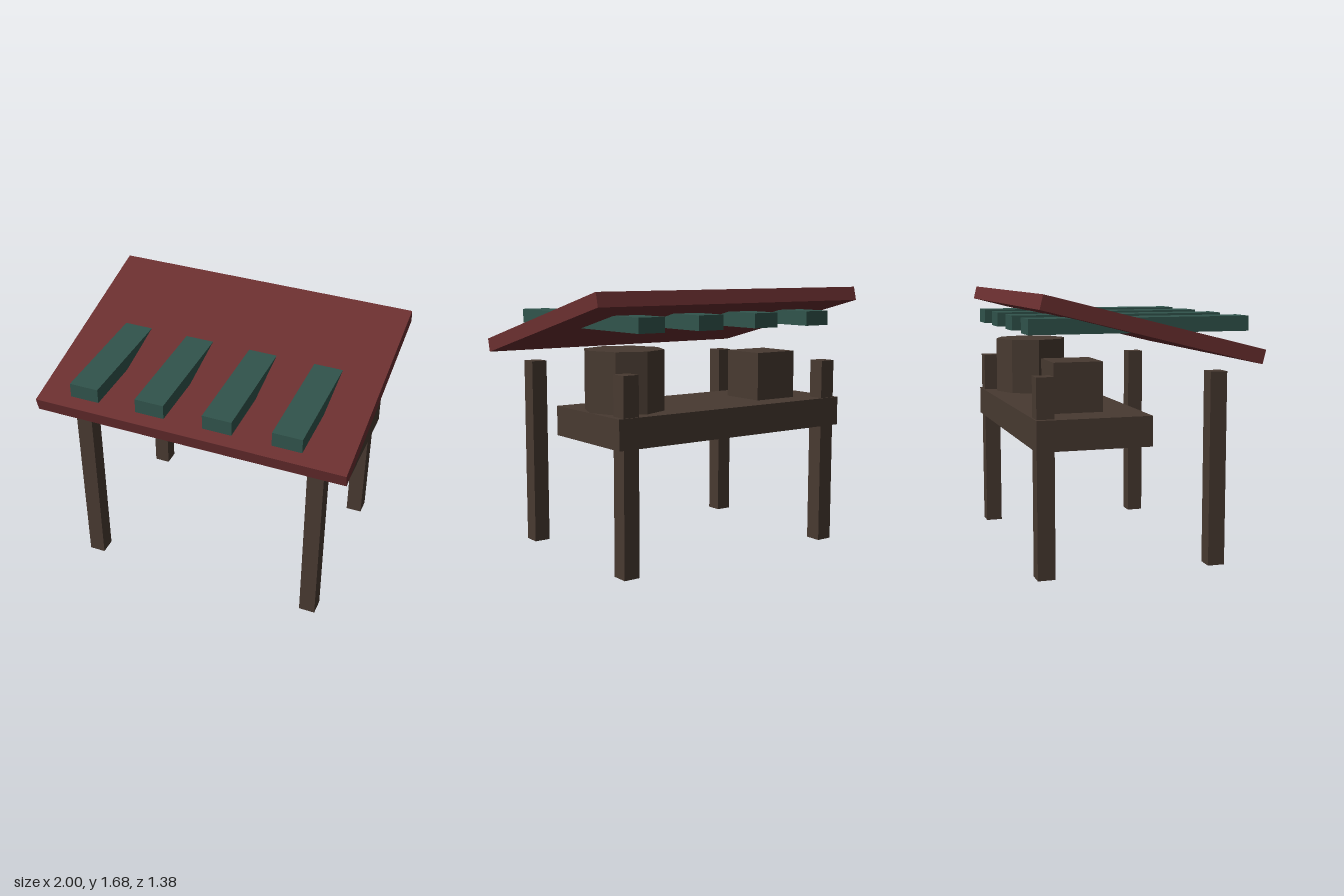
import * as THREE from 'three';

const wood = new THREE.MeshStandardMaterial({ color: 0x483a31, flatShading: true });
wood.name = 'darkWood';
const red = new THREE.MeshStandardMaterial({ color: 0x6b2f30, flatShading: true });
red.name = 'redCanopy';
const green = new THREE.MeshStandardMaterial({ color: 0x31544c, flatShading: true });
green.name = 'greenStripe';

export function createModel() {
  const group = new THREE.Group();

  const add = (name, geometry, material, x, y, z) => {
    const mesh = new THREE.Mesh(geometry, material);
    mesh.name = name;
    mesh.position.set(x, y, z);
    group.add(mesh);
    return mesh;
  };
  const box = (name, material, w, h, d, x, y, z) =>
    add(name, new THREE.BoxGeometry(w, h, d), material, x, y, z);

  // Four posts
  for (const side of [-1, 1]) {
    box('frontPost', wood, 0.105, 1.2, 0.107, side * 0.772, 0.6, 0.463);
    box('backPost', wood, 0.105, 1.2, 0.107, side * 0.772, 0.6, -0.613);
  }

  // Counter with a crate and an eight-sided barrel standing on it
  box('counter', wood, 1.72, 0.184, 0.706, 0, 0.863, -0.322);
  box('crate', wood, 0.306, 0.306, 0.306, -0.463, 1.108, -0.355);
  add('barrel', new THREE.CylinderGeometry(0.245, 0.245, 0.368, 8), wood, 0.614, 1.139, -0.355);

  // Sloping canopy, low at the front
  box('canopy', red, 2, 0.088, 1.39, 0, 1.465, 0).rotation.x = THREE.MathUtils.degToRad(14);

  // Level stripes passing through the canopy
  for (let i = 0; i < 4; i++) {
    box('canopyStripe', green, 0.184, 0.092, 1.38, -0.647 + i * 0.43, 1.481, 0);
  }

  return group;
}
